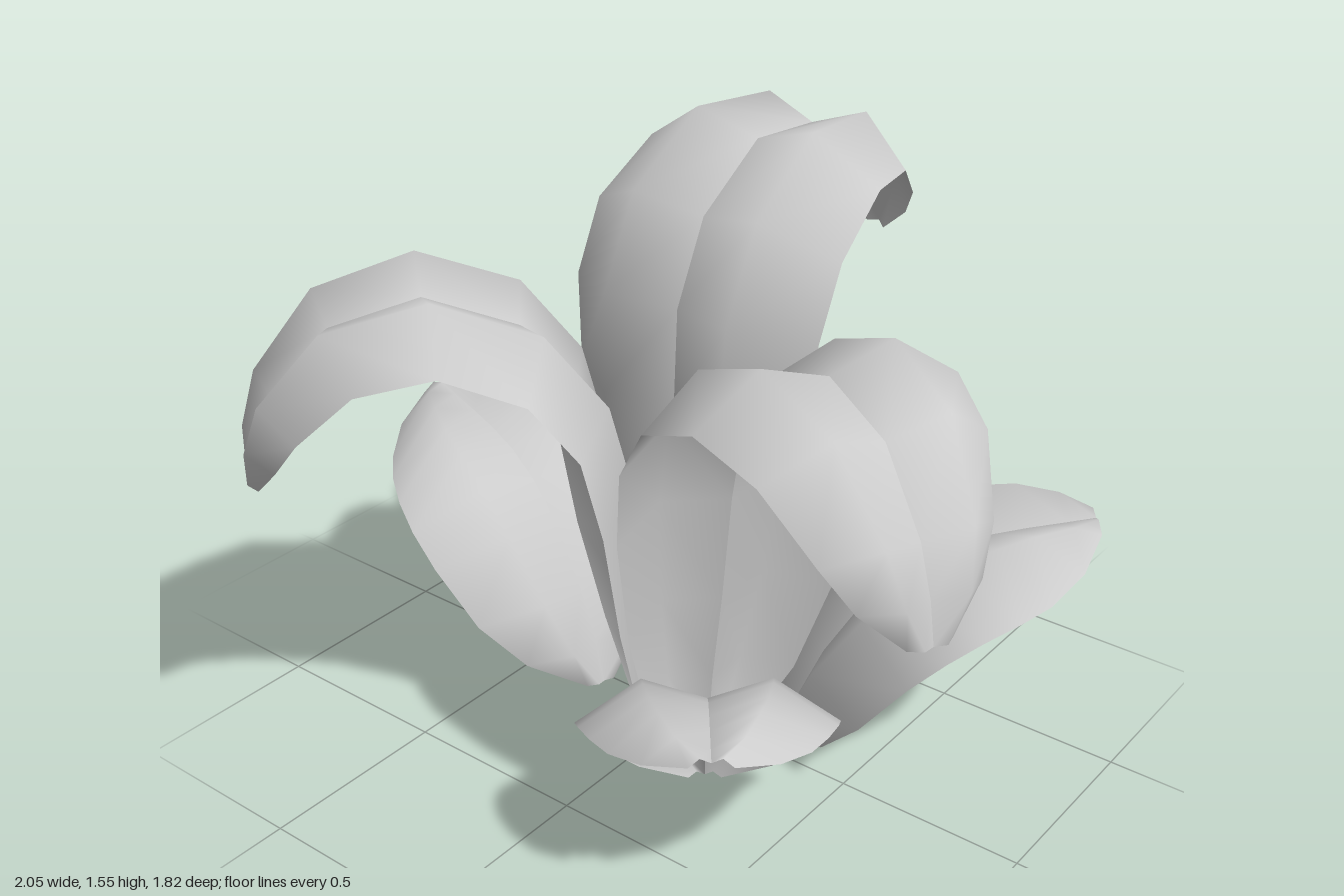
import * as THREE from 'three';

// Midrib stations from base to tip: [forward, height, half width]
const TALL = [
  [0, 0, 0.06], [-0.01, 0.07, 0.13], [-0.02, 0.25, 0.23], [-0.02, 0.54, 0.31],
  [-0.03, 0.87, 0.36], [-0.015, 1.12, 0.375], [0.09, 1.33, 0.374], [0.31, 1.47, 0.352],
  [0.55, 1.452, 0.3], [0.73, 1.31, 0.228], [0.8, 1.2, 0.165], [0.84, 1.1, 0.06],
];
const SHORT = [
  [0, 0, 0.05], [0.035, 0.11, 0.2], [0.1, 0.25, 0.3], [0.21, 0.415, 0.36], [0.31, 0.505, 0.37],
  [0.41, 0.56, 0.355], [0.51, 0.59, 0.32], [0.6, 0.607, 0.268], [0.7, 0.622, 0.18], [0.77, 0.633, 0.06],
];

// Across the petal: [fraction of half width, lift along the normal].
// The midrib is doubled so that it stays a sharp crease.
const SECTION = [[-1, -0.065], [-0.5, 0.055], [0, 0], [0, 0], [0.5, 0.055], [1, -0.065]];

function petalGeometry(profile) {
  const positions = [], index = [], n = SECTION.length;
  profile.forEach(([z, y, w], r) => {
    const a = profile[Math.max(r - 1, 0)];
    const b = profile[Math.min(r + 1, profile.length - 1)];
    const len = Math.hypot(b[0] - a[0], b[1] - a[1]);
    const nz = -(b[1] - a[1]) / len, ny = (b[0] - a[0]) / len;
    const taper = Math.min(1, w / 0.27);
    for (const [u, lift] of SECTION) {
      positions.push(u * w, y + ny * lift * taper, z + nz * lift * taper);
    }
    if (r === 0) return;
    for (let c = 0; c < n - 1; c++) {
      if (c === 2) continue; // gap between the two halves at the midrib
      const p = (r - 1) * n + c, q = r * n + c;
      index.push(p, q, p + 1, p + 1, q, q + 1);
    }
  });
  const geometry = new THREE.BufferGeometry();
  geometry.setAttribute('position', new THREE.Float32BufferAttribute(positions, 3));
  geometry.setIndex(index);
  geometry.computeVertexNormals();
  return geometry;
}

export function createModel() {
  const group = new THREE.Group();
  group.name = 'flower';
  const petalGrey = new THREE.MeshStandardMaterial({ color: 0xcccccc, side: THREE.DoubleSide });
  petalGrey.name = 'petalGrey';

  const tall = petalGeometry(TALL);
  const short = petalGeometry(SHORT);

  // at: base position, to: plan direction (x, z), tilt: outward lean in degrees
  function petal(name, geometry, at, to, scale, tilt = 0) {
    const mesh = new THREE.Mesh(geometry, petalGrey);
    mesh.name = name;
    mesh.position.set(...at);
    mesh.rotation.order = 'YXZ';
    mesh.rotation.set(THREE.MathUtils.degToRad(tilt), Math.atan2(to[0], to[1]), 0);
    mesh.scale.setScalar(scale);
    group.add(mesh);
  }

  // Tall petals that arch over
  petal('tallPetalBack', tall, [-0.07, 0.03, -0.06], [0, -1], 1);
  petal('tallPetalFrontRight', tall, [-0.045, 0.005, 0.115], [-0.625, 0.78], 0.925, 10);
  petal('tallPetalFrontLeft', tall, [0.13, 0.005, 0.085], [0.91, 0.41], 0.925, 10);

  // Short spreading petals
  petal('shortPetalRight', short, [-0.26, 0.02, 0.045], [-0.97, -0.23], 0.99);
  petal('shortPetalBackLeft', short, [0.26, 0.02, -0.07], [0.77, -0.64], 1);
  petal('shortPetalFrontLeft', short, [0.2, 0.005, 0.19], [0.62, 0.78], 0.84);

  return group;
}
